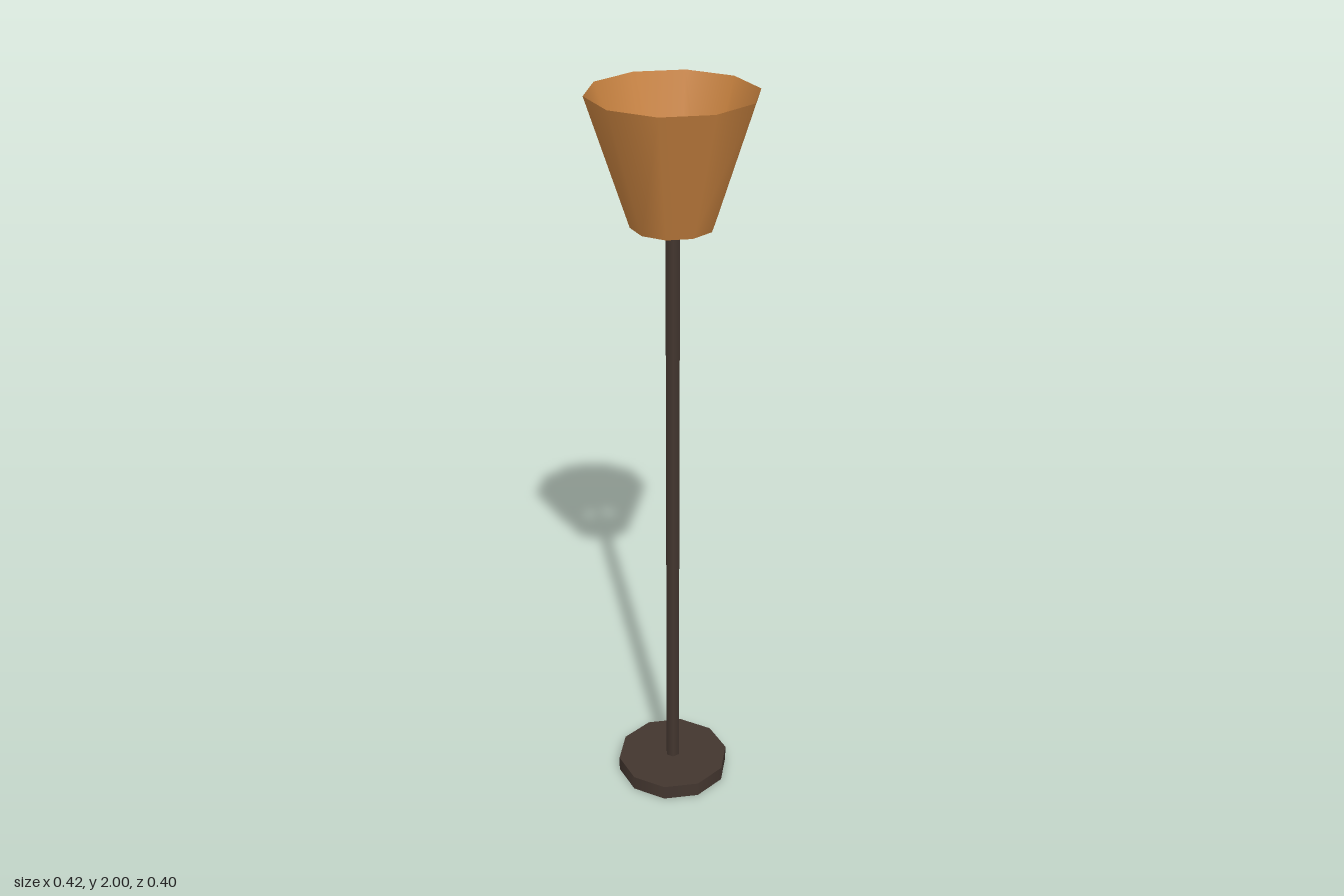
import * as THREE from 'three';

export function createModel() {
  const group = new THREE.Group();
  const darkMetal = new THREE.MeshStandardMaterial({ color: 0x43362f, name: 'darkMetal' });
  const amberShade = new THREE.MeshStandardMaterial({ color: 0xc98340, name: 'amberShade', side: THREE.DoubleSide });

  // Upright prism or cone from y0 to y1, with corners on the x axis
  function addRound(name, rTop, rBottom, y0, y1, sides, material, open = false) {
    const geometry = new THREE.CylinderGeometry(rTop, rBottom, y1 - y0, sides, 1, open);
    geometry.rotateY(Math.PI / 2);
    const mesh = new THREE.Mesh(geometry, material);
    mesh.name = name;
    mesh.position.y = (y0 + y1) / 2;
    group.add(mesh);
  }

  addRound('base', 0.158, 0.158, 0, 0.042, 10, darkMetal);
  addRound('pole', 0.02, 0.02, 0.03, 1.78, 6, darkMetal);
  // Open shade, flaring upwards
  addRound('shade', 0.212, 0.106, 1.673, 2, 10, amberShade, true);

  return group;
}
